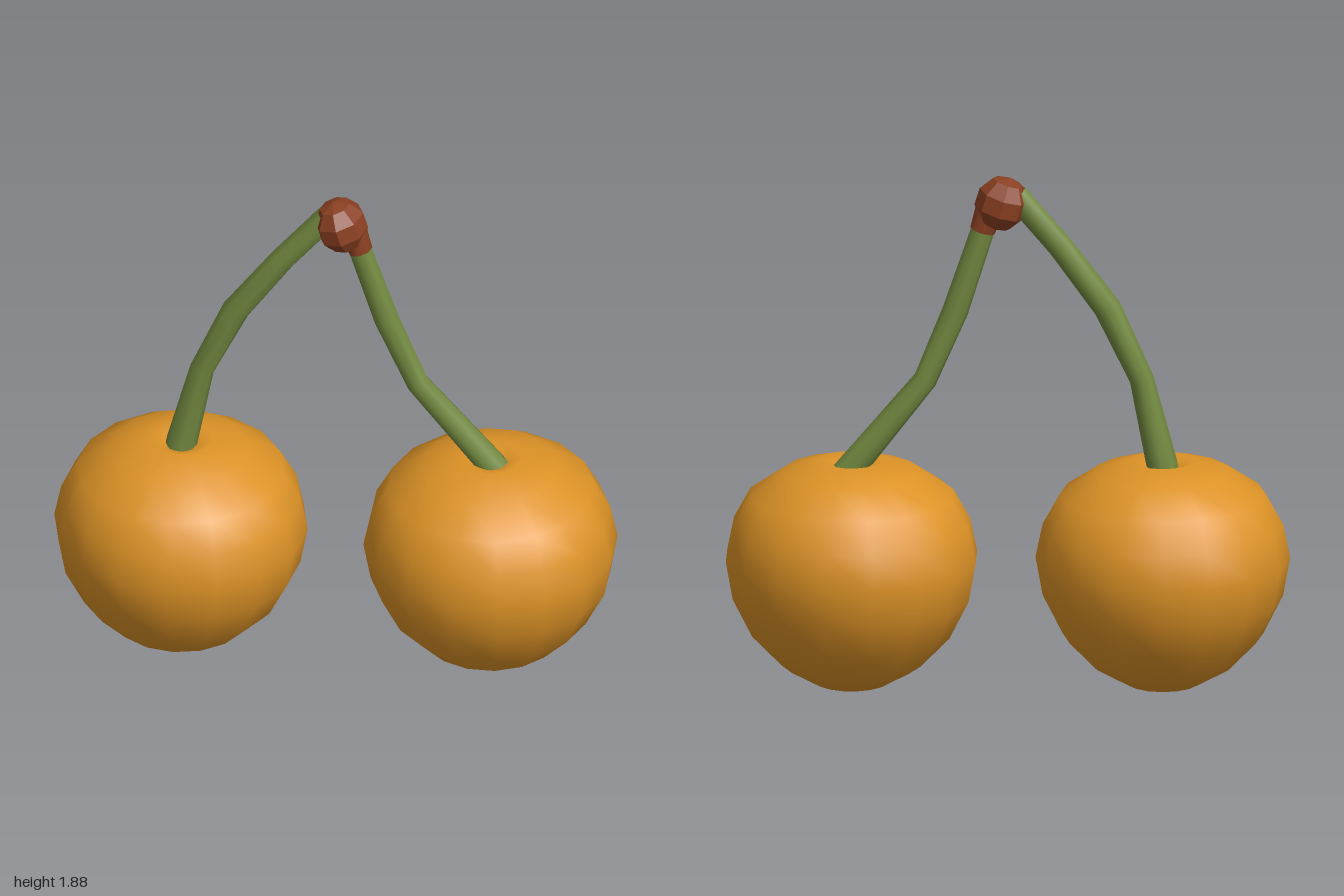
import * as THREE from 'three';

const mat = (name, color) => {
  const m = new THREE.MeshStandardMaterial({ color });
  m.name = name;
  return m;
};

// Round tube through rings of [x, y, radius], lying in the z = 0 plane
function stemGeometry(rings, sides = 8) {
  const pos = [], index = [];
  const at = (i) => new THREE.Vector2(rings[i][0], rings[i][1]);
  const last = rings.length - 1;
  rings.forEach(([x, y, r], i) => {
    const t = at(Math.min(i + 1, last)).sub(at(Math.max(i - 1, 0))).normalize();
    for (let s = 0; s < sides; s++) {
      const a = (s / sides) * Math.PI * 2;
      const u = Math.cos(a) * r, w = Math.sin(a) * r;
      pos.push(x + t.y * u, y - t.x * u, w);
    }
  });
  for (let i = 0; i < last; i++) {
    for (let s = 0; s < sides; s++) {
      const a = i * sides + s, b = i * sides + (s + 1) % sides;
      index.push(a, a + sides, b, b, a + sides, b + sides);
    }
  }
  const g = new THREE.BufferGeometry();
  g.setAttribute('position', new THREE.Float32BufferAttribute(pos, 3));
  g.setIndex(index);
  g.computeVertexNormals();
  return g;
}

export function createModel() {
  const group = new THREE.Group();
  const orange = mat('orange skin', 0xdc9226);
  const green = mat('green stem', 0x738a40);
  const brown = mat('brown knob', 0x8a4022);
  green.side = THREE.DoubleSide;

  const add = (name, geometry, material) => {
    const m = new THREE.Mesh(geometry, material);
    m.name = name;
    group.add(m);
    return m;
  };

  // Fruit: lathed profile with a dimple at the top
  const profile = [
    [0, 0.005], [0.13, 0.03], [0.25, 0.1], [0.355, 0.21], [0.425, 0.35],
    [0.45, 0.49], [0.425, 0.61], [0.365, 0.72], [0.24, 0.805], [0.11, 0.845],
    [0.05, 0.82], [0, 0.8],
  ].map(([r, y]) => new THREE.Vector2(r, y));
  const fruit = new THREE.LatheGeometry(profile, 16);
  add('rightFruit', fruit, orange).position.x = -0.55;
  const left = add('leftFruit', fruit, orange);
  left.position.x = 0.55;
  left.rotation.y = 0.17;

  // Stems: the right one leaves its fruit upright, the left one leans
  add('rightStem', stemGeometry([
    [-0.555, 0.78, 0.056], [-0.545, 0.84, 0.055], [-0.475, 1.145, 0.043],
    [-0.355, 1.405, 0.049], [-0.19, 1.63, 0.045], [-0.03, 1.82, 0.045],
  ]), green);
  add('leftStem', stemGeometry([
    [0.585, 0.78, 0.05], [0.54, 0.83, 0.052], [0.29, 1.14, 0.042],
    [0.183, 1.395, 0.046], [0.09, 1.68, 0.042], [0.06, 1.76, 0.04],
  ]), green);

  // Faceted knob joining the stems, with a short collar on the left stem
  const ball = new THREE.SphereGeometry(0.1, 8, 5).toNonIndexed();
  ball.computeVertexNormals();
  const knob = add('knob', ball, brown);
  knob.position.set(0.02, 1.79, 0);
  knob.rotation.z = 0.3;
  knob.scale.x = 0.95;
  add('collar', stemGeometry([[0.087, 1.69, 0.045], [0.06, 1.78, 0.05]]), brown);

  return group;
}
